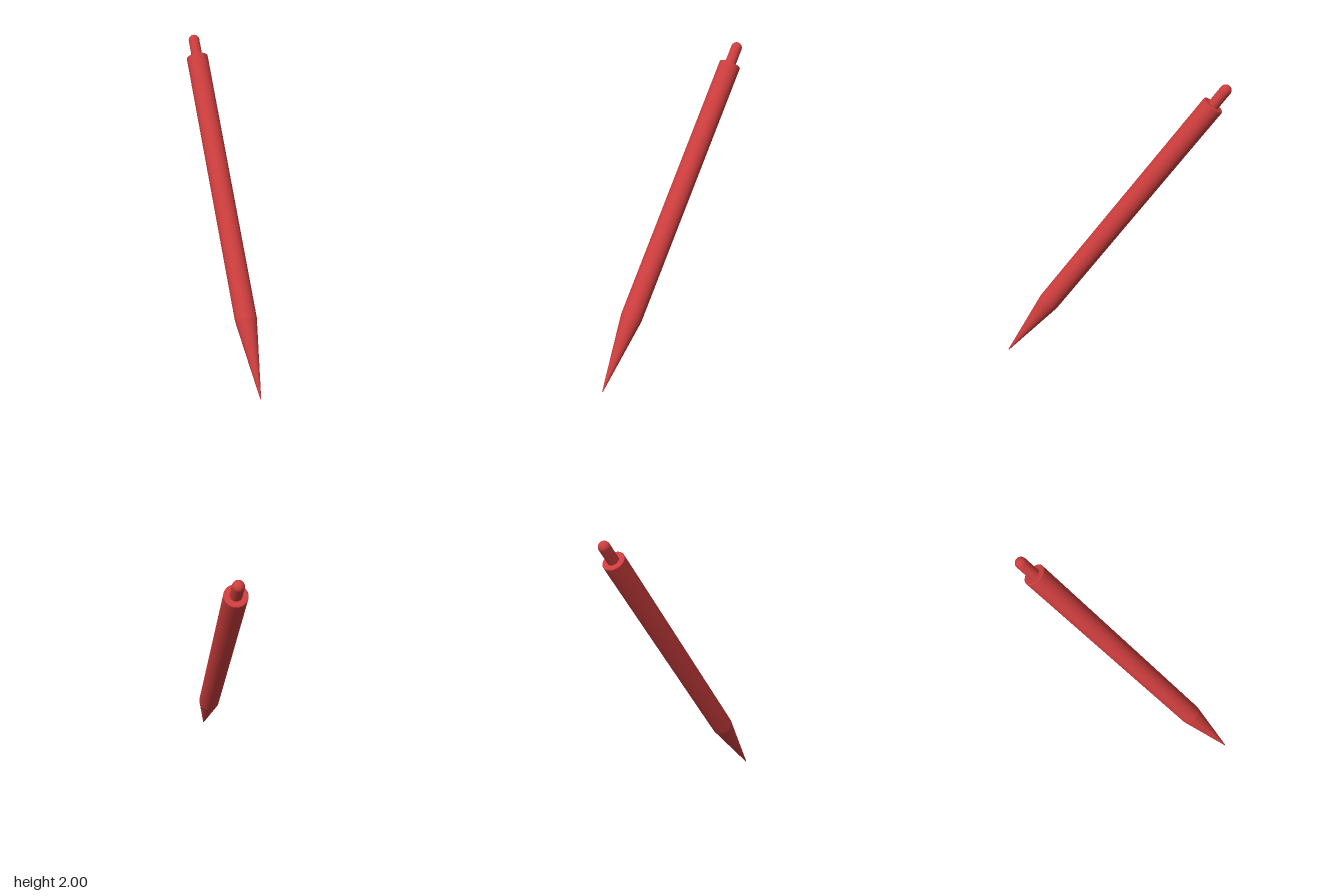
import * as THREE from 'three';

// Slim pen leaning back: tapered point, straight barrel, round push button
export function createModel() {
  const group = new THREE.Group();
  const red = new THREE.MeshStandardMaterial({ color: 0xcc3d3d });
  const tip = new THREE.Vector3(-0.2, 0.003, 0.71);
  const end = new THREE.Vector3(0.142, 1.964, -0.674);
  const length = tip.distanceTo(end);
  const barrelRadius = 0.071, buttonRadius = 0.036;
  const pointLength = 0.51, barrelTop = 2.306;

  // The pen is built upright along y, with its tip at the origin
  const pen = new THREE.Group();
  pen.name = 'pen';
  const add = (name, geometry, y) => {
    const mesh = new THREE.Mesh(geometry, red);
    mesh.name = name;
    mesh.position.y = y;
    pen.add(mesh);
  };

  // Writing point
  add('point', new THREE.CylinderGeometry(barrelRadius, 0.003, pointLength, 48, 1), pointLength / 2);

  // Barrel with a slightly softened top rim
  const rim = 0.004;
  const barrelLength = barrelTop - rim - pointLength;
  add('barrel', new THREE.CylinderGeometry(barrelRadius, barrelRadius, barrelLength, 48, 1, true), pointLength + barrelLength / 2);
  add('barrelRim', new THREE.CylinderGeometry(barrelRadius - rim, barrelRadius, rim, 48), barrelTop - rim / 2);

  // Push button with a domed end
  const stem = length - barrelTop + 0.02;
  add('buttonStem', new THREE.CylinderGeometry(buttonRadius, buttonRadius, stem, 32, 1, true), length - stem / 2);
  add('buttonDome', new THREE.SphereGeometry(buttonRadius, 32, 12, 0, Math.PI * 2, 0, Math.PI / 2), length);

  // Lean the pen along its axis
  pen.quaternion.setFromUnitVectors(new THREE.Vector3(0, 1, 0), end.clone().sub(tip).normalize());
  pen.position.copy(tip);
  group.add(pen);
  return group;
}
